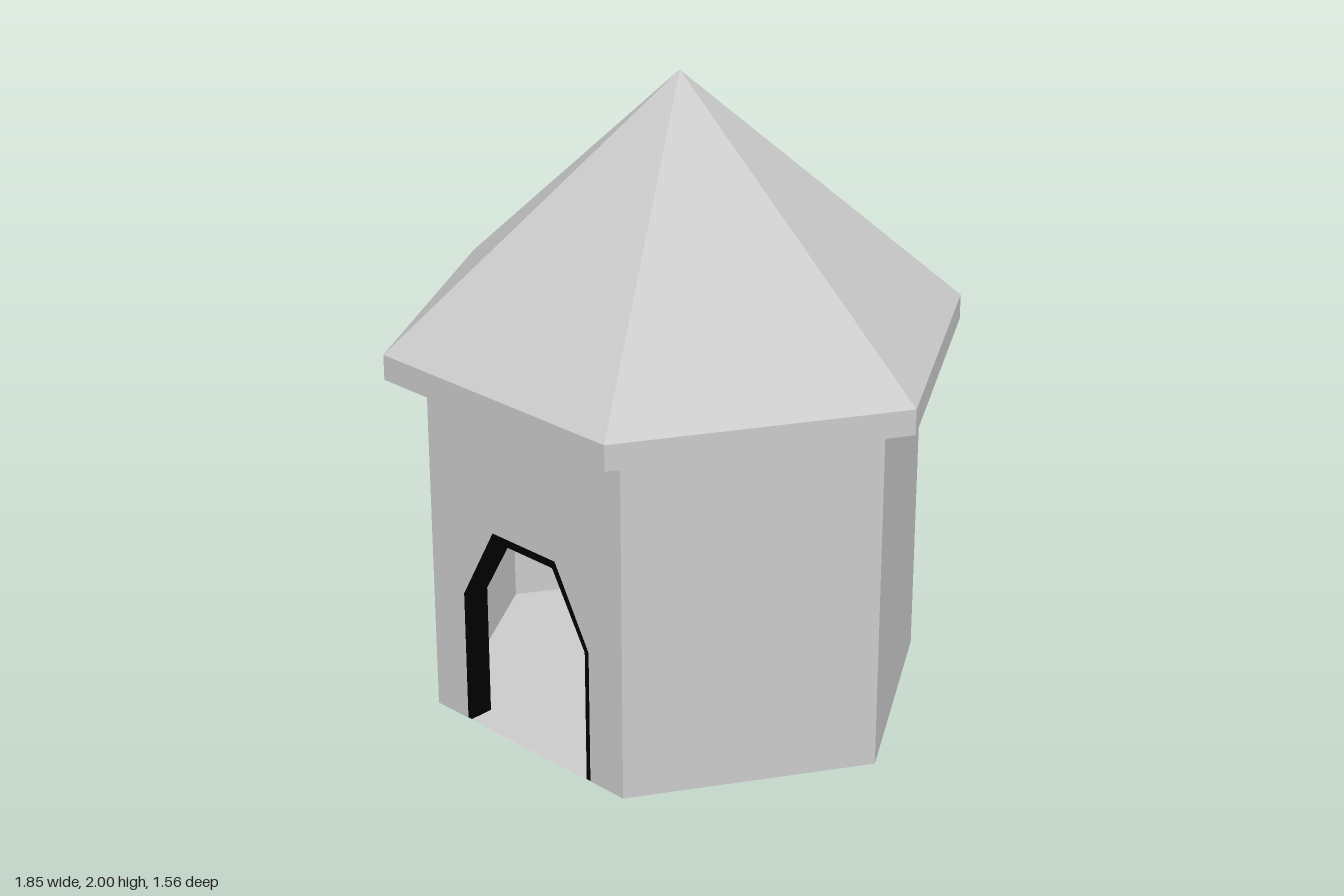
import * as THREE from 'three';

const grey = new THREE.MeshStandardMaterial({ color: 0xcccccc, flatShading: true, side: THREE.DoubleSide });
const black = new THREE.MeshStandardMaterial({ color: 0x000000, flatShading: true });

const V = (x, y) => new THREE.Vector2(x, y);

// Six corners in plan, points on the x axis, flat sides at front and back
const hexagon = (radius, halfDepth) =>
  Array.from({ length: 6 }, (_, i) => {
    const a = (i * Math.PI) / 3;
    return V(radius * Math.cos(a), (halfDepth * Math.sin(a)) / Math.sin(Math.PI / 3));
  });

// Door outline: straight jambs, sloped shoulders, flat top
const doorOutline = (side, shoulder, top, height, base = 0) => [
  V(-side, base), V(-side, shoulder), V(-top, height),
  V(top, height), V(side, shoulder), V(side, base),
];

const extrude = (points, depth) =>
  new THREE.ExtrudeGeometry(new THREE.Shape(points), { depth, bevelEnabled: false });

export function createModel() {
  const group = new THREE.Group();
  const add = (name, geometry, material = grey) => {
    const mesh = new THREE.Mesh(geometry, material);
    mesh.name = name;
    group.add(mesh);
  };

  const wallTop = 1.12, thickness = 0.04, frontZ = 0.665;
  const outer = hexagon(0.815, frontZ);
  const inner = hexagon(0.767, frontZ - thickness);

  // Five plain walls; side 4 is the front, which holds the doorway
  for (let i = 0; i < 6; i++) {
    if (i === 4) continue;
    const j = (i + 1) % 6;
    const wall = extrude([outer[i], outer[j], inner[j], inner[i]], wallTop);
    add('wall', wall.rotateX(-Math.PI / 2));
  }

  // Front wall with the doorway cut out of its lower edge
  const halfWidth = outer[1].x;
  const front = extrude(
    [V(-halfWidth, 0), ...doorOutline(0.27, 0.435, 0.133, 0.685),
      V(halfWidth, 0), V(halfWidth, wallTop), V(-halfWidth, wallTop)], thickness);
  add('frontWall', front.translate(0, 0, frontZ - thickness));

  // Dark door frame, flush outside and reaching into the room
  const frame = extrude(
    [...doorOutline(0.27, 0.435, 0.133, 0.685, 0.002),
      ...doorOutline(0.254, 0.43, 0.122, 0.66, 0.002).reverse()], 0.08);
  add('doorFrame', frame.translate(0, 0, frontZ - 0.08), black);

  // Floor
  add('floor', new THREE.ShapeGeometry(new THREE.Shape(outer)).rotateX(-Math.PI / 2));

  // Six-sided roof with upright eaves and a closed underside
  const roof = new THREE.LatheGeometry(
    [V(0, wallTop), V(0.925, wallTop), V(0.925, 1.2), V(0, 2)], 6, Math.PI / 6);
  add('roof', roof.scale(1, 1, 0.78 / (0.925 * Math.sin(Math.PI / 3))));

  return group;
}
